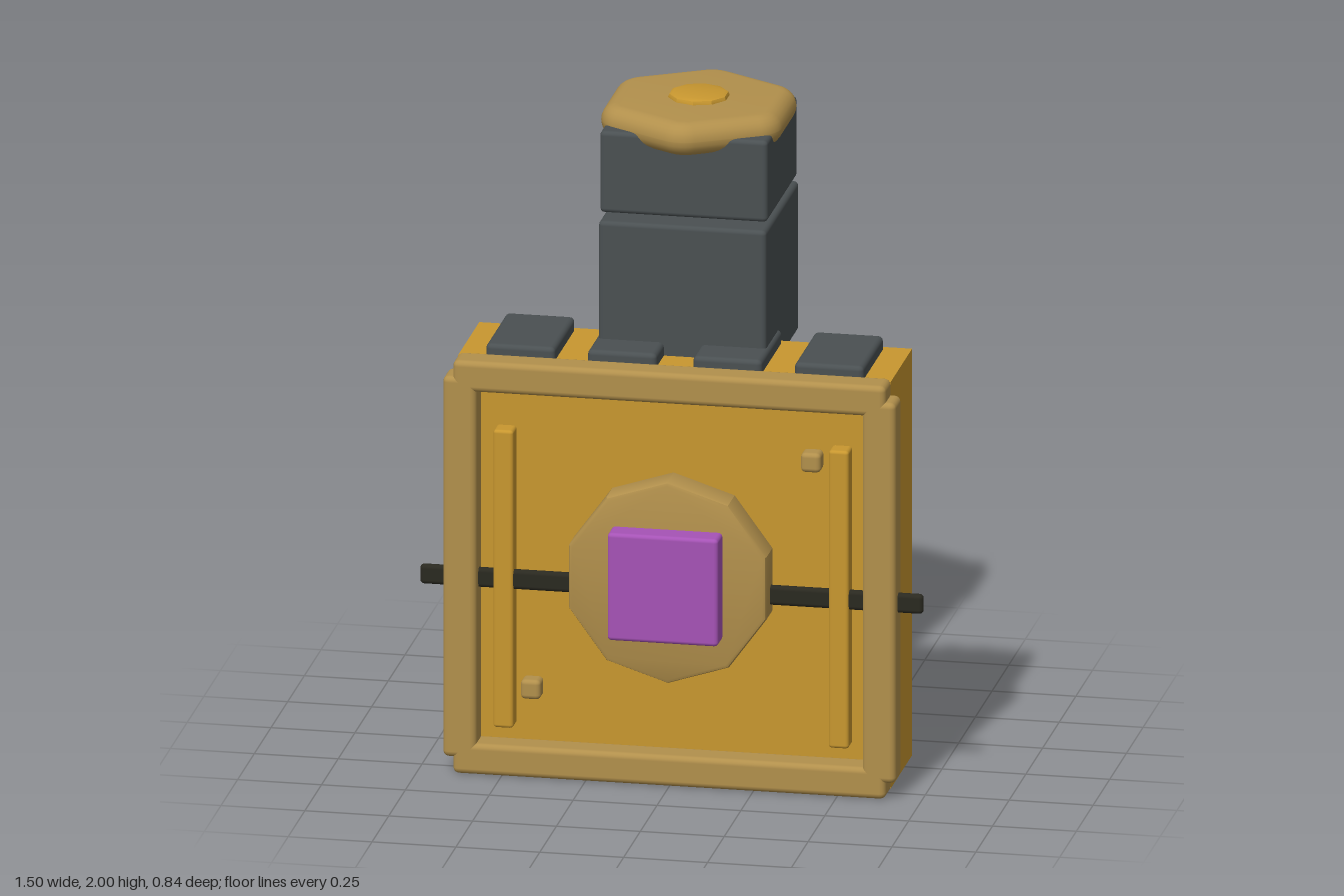
import * as THREE from 'three';
import { toCreasedNormals } from 'three/addons/utils/BufferGeometryUtils.js';
import { RoundedBoxGeometry } from 'three/addons/geometries/RoundedBoxGeometry.js';

const mat = (name, color) => {
  const m = new THREE.MeshStandardMaterial({ color });
  m.name = name;
  return m;
};

// Regular polygon outline with a vertex at the top; corners are rounded when r > 0
function polygon(sides, apothem, r = 0) {
  const pts = [];
  const radius = (apothem - r) / Math.cos(Math.PI / sides);
  const steps = r > 0 ? 6 : 0;
  for (let i = 0; i < sides; i++) {
    const a = Math.PI / 2 + (i * 2 * Math.PI) / sides;
    for (let k = 0; k <= steps; k++) {
      const b = steps ? a + (k / steps - 0.5) * (2 * Math.PI / sides) : a;
      pts.push(new THREE.Vector2(
        radius * Math.cos(a) + r * Math.cos(b),
        radius * Math.sin(a) + r * Math.sin(b)));
    }
  }
  return new THREE.Shape(pts);
}

// Bevelled slab, starting at z = 0 and ending at z = depth
function slab(shape, depth, bevel, segments) {
  const g = new THREE.ExtrudeGeometry(shape, {
    depth: Math.max(depth - 2 * bevel, 0.001), bevelEnabled: true,
    bevelThickness: bevel, bevelSize: bevel, bevelSegments: segments });
  g.translate(0, 0, bevel);
  return toCreasedNormals(g, 0.55);
}

export function createModel() {
  const model = new THREE.Group();
  model.name = 'boxModel';
  const gold = mat('gold', 0xc8972f);
  const tan = mat('tan', 0xb2904c);
  const grey = mat('slateGrey', 0x4a5052);
  const purple = mat('purple', 0xa653b6);
  const black = mat('black', 0x2a2920);

  const add = (name, geometry, material) => {
    const mesh = new THREE.Mesh(geometry, material);
    mesh.name = name;
    model.add(mesh);
    return mesh;
  };
  // Box given by its limits on each axis, with an optional soft edge
  const box = (name, material, [x0, x1], [y0, y1], [z0, z1], r = 0) => {
    const size = [x1 - x0, y1 - y0, z1 - z0];
    const g = r ? new RoundedBoxGeometry(...size, 2, r) : new THREE.BoxGeometry(...size);
    add(name, g, material).position.set((x0 + x1) / 2, (y0 + y1) / 2, (z0 + z1) / 2);
  };

  // Main case
  box('body', gold, [-0.645, 0.645], [0.015, 1.265], [-0.08, 0.24]);

  // Raised frame around the front
  box('frameTop', tan, [-0.645, 0.645], [1.18, 1.275], [0.228, 0.325], 0.018);
  box('frameBottom', tan, [-0.645, 0.645], [0.005, 0.1], [0.228, 0.325], 0.018);
  for (const [side, s] of [['Left', 1], ['Right', -1]]) {
    const span = (a, b) => (s > 0 ? [a, b] : [-b, -a]);
    box('frame' + side, tan, span(0.575, 0.675), [0.055, 1.225], [0.228, 0.325], 0.018);
    box('strip' + side, gold, span(0.47, 0.53), [0.145, 1.06], [0.23, 0.295], 0.01);
    // Pads along the top
    box('outerPad' + side, grey, span(0.357, 0.563), [1.225, 1.305], [-0.07, 0.24], 0.015);
    box('innerPad' + side, grey, span(0.054, 0.26), [1.225, 1.305], [-0.07, 0.24], 0.015);
  }

  // Cross rod and studs
  box('crossRod', black, [-0.75, 0.75], [0.57, 0.63], [0.262, 0.288], 0.0125);
  box('upperStud', tan, [0.385, 0.445], [0.985, 1.045], [0.23, 0.29], 0.014);
  box('lowerStud', tan, [-0.45, -0.39], [0.235, 0.295], [0.23, 0.29], 0.014);

  // Ten-sided dial with its square button
  const apothem = 0.31 * Math.cos(Math.PI / 10);
  add('dial', slab(polygon(10, apothem - 0.012), 0.11, 0.012, 2), tan).position.set(0, 0.64, 0.24);
  box('button', purple, [-0.165, 0.165], [0.475, 0.805], [0.3, 0.42], 0.012);

  // Stacked blocks behind the top edge
  box('lowerBlock', grey, [-0.25, 0.25], [1.205, 1.665], [-0.372, 0.125], 0.014);
  box('upperBlock', grey, [-0.25, 0.25], [1.685, 1.935], [-0.348, 0.105], 0.014);

  // Hexagonal cap with a small centre knob
  const cap = add('cap', slab(polygon(6, 0.22, 0.047), 0.1, 0.049, 6), tan);
  cap.rotation.x = -Math.PI / 2;
  cap.position.set(0, 1.886, -0.127);
  const knob = add('capKnob', slab(polygon(10, 0.074), 0.04, 0.012, 2), gold);
  knob.rotation.x = -Math.PI / 2;
  knob.position.set(0, 1.96, -0.127);

  return model;
}
